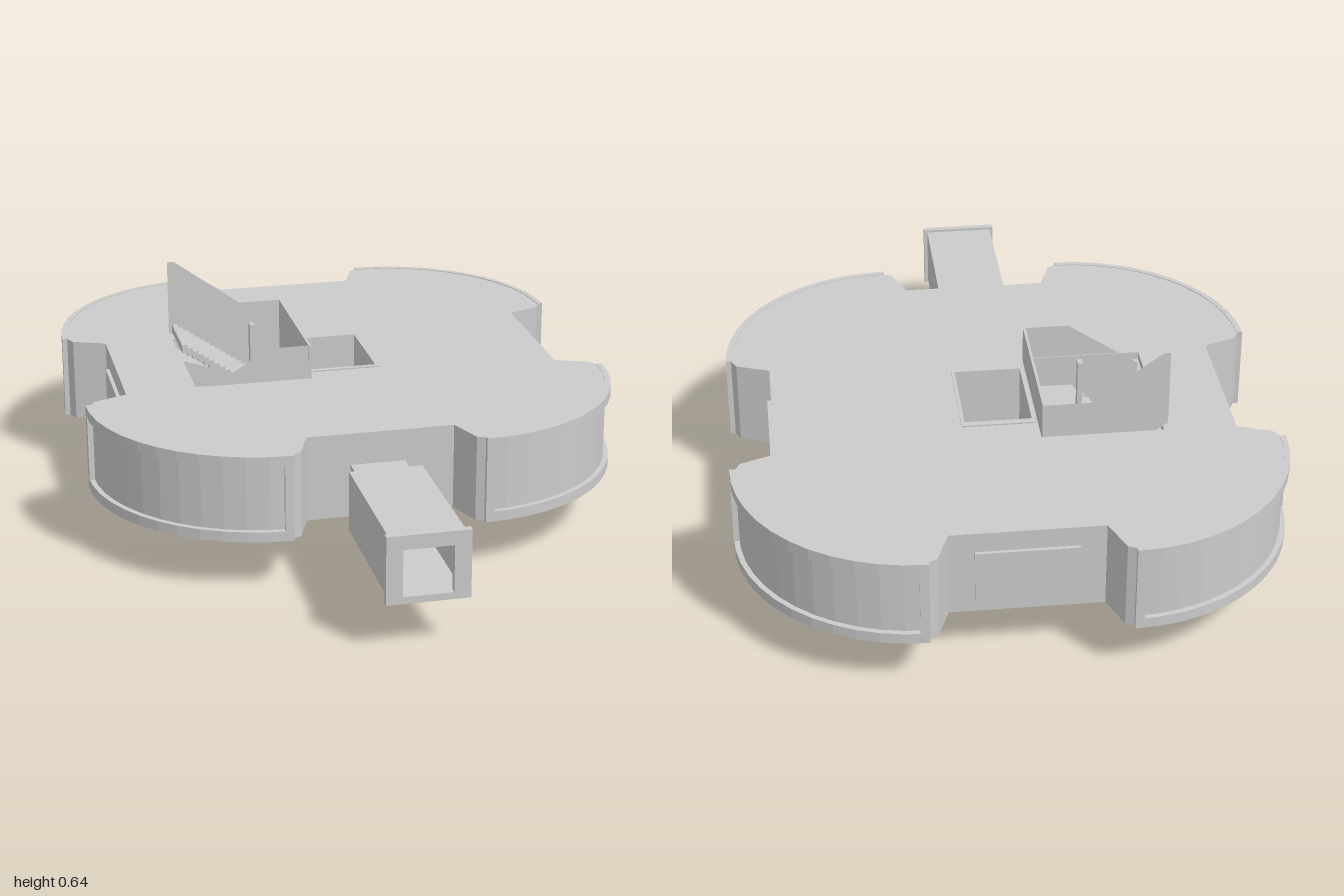
import * as THREE from 'three';

const ZC = -0.21; // centre of the main building along z
const material = new THREE.MeshStandardMaterial({ color: 0xcccccc, side: THREE.DoubleSide, flatShading: true });

function add(parent, name, geometry, x = 0, y = 0, z = 0) {
  const mesh = new THREE.Mesh(geometry, material);
  mesh.name = name;
  mesh.position.set(x, y, z);
  parent.add(mesh);
  return mesh;
}

// box given by its limits
function block(parent, name, x0, x1, y0, y1, z0, z1) {
  return add(parent, name, new THREE.BoxGeometry(x1 - x0, y1 - y0, z1 - z0),
    (x0 + x1) / 2, (y0 + y1) / 2, (z0 + z1) / 2);
}

// plan shape raised from y0 to y1; the shape's y is -z
function slab(parent, name, shape, y0, y1, z = 0) {
  const geometry = new THREE.ExtrudeGeometry(shape, { depth: y1 - y0, bevelEnabled: false });
  geometry.rotateX(-Math.PI / 2);
  return add(parent, name, geometry, 0, y0, z);
}

// thin upright panel drawn in x, y
function panel(parent, name, points, z) {
  const shape = new THREE.Shape(points.map(([x, y]) => new THREE.Vector2(x, y)));
  return add(parent, name, new THREE.ShapeGeometry(shape), 0, 0, z);
}

function rectangle(x0, x1, y0, y1) {
  return [[x0, y0], [x1, y0], [x1, y1], [x0, y1]].map(([x, y]) => new THREE.Vector2(x, y));
}

// plan of the building: four rounded corner lobes joined by straight sides
function outline(scale = 1) {
  const quarter = [[0.645, 0.225], [0.74, 0.262]];
  for (let i = 0; i <= 12; i++) {
    const a = (i / 12) * Math.PI / 2;
    quarter.push([0.27 + 0.485 * Math.cos(a), 0.29 + 0.485 * Math.sin(a)]);
  }
  quarter.push([0.247, 0.765], [0.21, 0.665]);
  const back = [...quarter].reverse();
  return [
    ...quarter,
    ...back.map(([x, y]) => [-x, y]),
    ...quarter.map(([x, y]) => [-x, -y]),
    ...back.map(([x, y]) => [x, -y]),
  ].map(([x, y]) => new THREE.Vector2(x * scale, y * scale));
}

// curved strip on a lobe between two angles
function arcShape(a0, a1) {
  const points = [];
  const n = Math.max(1, Math.round((a1 - a0) / (Math.PI / 24)));
  for (let i = 0; i <= n; i++) {
    const a = a0 + (a1 - a0) * i / n;
    points.push(new THREE.Vector2(0.5 * Math.cos(a), 0.5 * Math.sin(a)));
  }
  for (let i = n; i >= 0; i--) {
    const a = a0 + (a1 - a0) * i / n;
    points.push(new THREE.Vector2(0.483 * Math.cos(a), 0.483 * Math.sin(a)));
  }
  return new THREE.Shape(points);
}

function createBuilding() {
  const g = new THREE.Group();
  g.name = 'building';

  // roof and floor, pierced by the stairwell and light well
  const lightWell = rectangle(-0.08, 0.11, -0.15, 0.125);
  const roof = new THREE.Shape(outline());
  roof.holes.push(new THREE.Path(lightWell), new THREE.Path(rectangle(-0.44, -0.095, -0.21, 0.22)));
  slab(g, 'roof', roof, 0.375, 0.398, ZC);
  const floor = new THREE.Shape(outline());
  floor.holes.push(new THREE.Path(lightWell), new THREE.Path(rectangle(-0.44, -0.1, -0.01, 0.22)));
  slab(g, 'floor', floor, 0.15, 0.17, ZC);

  // outer wall
  const wall = new THREE.Shape(outline());
  wall.holes.push(new THREE.Path(outline(0.97)));
  slab(g, 'outerWall', wall, 0.17, 0.375, ZC);

  // light well shaft
  const shaft = new THREE.Shape(rectangle(-0.09, 0.12, -0.165, 0.145));
  shaft.holes.push(new THREE.Path(lightWell));
  slab(g, 'lightWellShaft', shaft, 0.148, 0.402, ZC);

  // raised frames round the curved lobe windows
  const end = 0.05, quarter = Math.PI / 2;
  for (let i = 0; i < 4; i++) {
    const frame = new THREE.Group();
    frame.name = 'lobeWindowFrame';
    slab(frame, 'topRail', arcShape(0, quarter), 0.37, 0.4);
    slab(frame, 'bottomRail', arcShape(0, quarter), 0.15, 0.18);
    slab(frame, 'endPost', arcShape(0, end), 0.18, 0.37);
    slab(frame, 'endPost', arcShape(quarter - end, quarter), 0.18, 0.37);
    frame.rotation.y = i * quarter;
    const sx = i === 0 || i === 3 ? 1 : -1;
    const sz = i < 2 ? -1 : 1;
    frame.position.set(sx * 0.27, 0, ZC + sz * 0.29);
    g.add(frame);
  }

  // flat window plates on the straight sides
  for (const s of [-1, 1]) {
    block(g, 'sideWindow', s * 0.65 - 0.006, s * 0.65 + 0.006, 0.19, 0.34, -0.365, -0.055);
  }
  block(g, 'backWindow', -0.14, 0.14, 0.19, 0.34, -0.885, -0.87);
  return g;
}

function createStairs() {
  const g = new THREE.Group();
  g.name = 'staircase';

  // stepped flight between two x positions, with a stepped underside
  function flight(name, x0, y0, x1, y1, z0, z1, count) {
    const dx = (x1 - x0) / count, dy = (y1 - y0) / count;
    for (let i = 0; i < count; i++) {
      const a = x0 + i * dx, b = a + dx, top = y0 + (i + 1) * dy;
      block(g, name, Math.min(a, b), Math.max(a, b), top - 0.025, top, z0, z1);
    }
  }
  flight('lowerFlight', -0.38, 0.16, -0.23, 0.3, -0.2, 0, 9);
  flight('upperFlight', -0.23, 0.3, -0.44, 0.445, -0.43, -0.235, 13);
  block(g, 'landing', -0.23, -0.1, 0.275, 0.3, -0.43, 0);

  // parapets
  block(g, 'landingParapet', -0.105, -0.097, 0.275, 0.5, -0.43, 0.005);
  panel(g, 'frontParapet', [[-0.1, 0.275], [-0.1, 0.5], [-0.23, 0.5], [-0.44, 0.36], [-0.44, 0.16], [-0.38, 0.16], [-0.23, 0.275]], 0.003);
  panel(g, 'backParapet', [[-0.1, 0.275], [-0.1, 0.5], [-0.23, 0.5], [-0.43, 0.645], [-0.45, 0.645], [-0.45, 0.42], [-0.23, 0.275]], -0.43);

  // divider hanging below the floor between the flights
  panel(g, 'stairDivider', [[-0.23, 0.0], [-0.23, 0.33], [-0.44, 0.4], [-0.44, 0.15]], -0.22);
  block(g, 'dividerPost', -0.24, -0.225, 0.3, 0.505, -0.225, -0.2);
  return g;
}

function createEntrance() {
  const g = new THREE.Group();
  g.name = 'entranceTunnel';

  // rectangular tube along z, closed or open by its ring section
  function tube(name, x0, x1, y0, y1, hole, z0, z1) {
    const shape = new THREE.Shape(rectangle(x0, x1, y0, y1));
    shape.holes.push(new THREE.Path(rectangle(...hole)));
    add(g, name, new THREE.ExtrudeGeometry(shape, { depth: z1 - z0, bevelEnabled: false }), 0, 0, z0);
  }
  const opening = [-0.075, 0.062, 0.157, 0.29];
  tube('neck', -0.085, 0.07, 0.15, 0.305, opening, 0.45, 0.545);
  tube('tunnel', -0.11, 0.097, 0.148, 0.322, [-0.1, 0.087, 0.157, 0.312], 0.54, 0.985);
  tube('mouthFrame', -0.12, 0.108, 0.137, 0.33, opening, 0.98, 1.0);

  // inner door in two leaves
  block(g, 'doorLeaf', -0.075, -0.034, 0.157, 0.29, 0.455, 0.467);
  block(g, 'doorLeaf', -0.03, 0.062, 0.157, 0.29, 0.455, 0.463);
  block(g, 'doorHandle', -0.052, -0.047, 0.21, 0.225, 0.467, 0.473);
  return g;
}

export function createModel() {
  const model = new THREE.Group();
  model.name = 'lobedStation';
  model.add(createBuilding(), createStairs(), createEntrance());
  return model;
}
